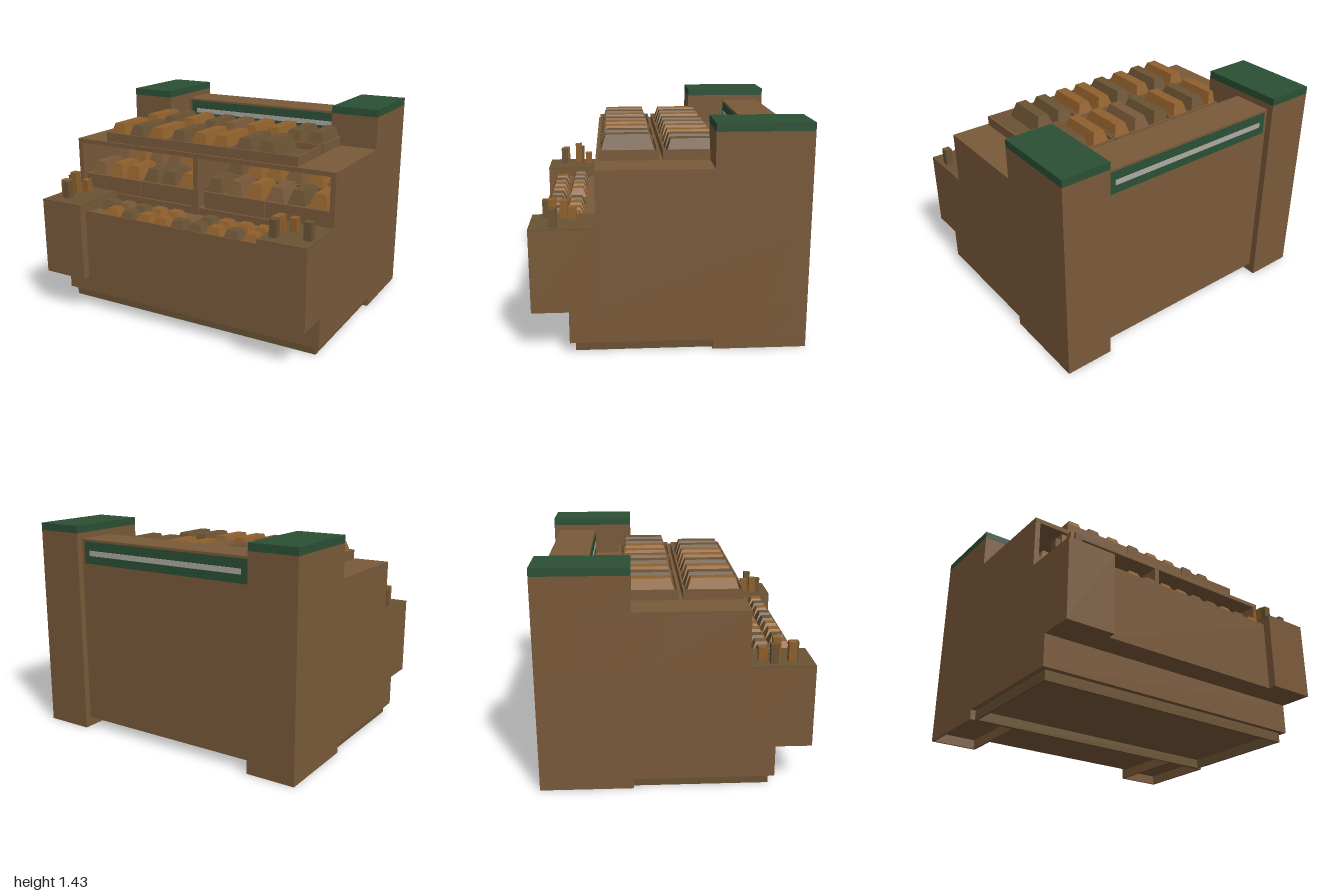
import * as THREE from 'three';

const mat = (name, color) => {
  const m = new THREE.MeshStandardMaterial({ color });
  m.name = name;
  return m;
};

export function createModel() {
  const wood = mat('wood', 0x7a5a3a);
  const darkWood = mat('dark wood', 0x6b5334);
  const crust = mat('golden crust', 0x8f602c);
  const green = mat('green', 0x2b5035);
  const grey = mat('light grey', 0xadaaa2);
  const colours = { o: crust, d: darkWood, b: wood };
  const model = new THREE.Group();
  model.name = 'bakeryCounter';

  const add = (name, geometry, material) => {
    const mesh = new THREE.Mesh(geometry, material);
    mesh.name = name;
    model.add(mesh);
    return mesh;
  };
  // Box given by its extents
  const box = (name, x0, x1, y0, y1, z0, z1, material = wood) => {
    const mesh = add(name, new THREE.BoxGeometry(x1 - x0, y1 - y0, z1 - z0), material);
    mesh.position.set((x0 + x1) / 2, (y0 + y1) / 2, (z0 + z1) / 2);
    return mesh;
  };
  // Open rectangular frame of four walls
  const ring = (name, x0, x1, y0, y1, z0, z1, t, material = wood) => {
    box(name, x0, x1, y0, y1, z1 - t, z1, material);
    box(name, x0, x1, y0, y1, z0, z0 + t, material);
    box(name, x0, x0 + t, y0, y1, z0 + t, z1 - t, material);
    box(name, x1 - t, x1, y0, y1, z0 + t, z1 - t, material);
  };
  // Loaf: a box whose top is drawn in on all sides
  const loaf = (name, x, y, z, w, h, d, inset, material) => {
    const g = new THREE.BoxGeometry(w, h, d);
    const p = g.attributes.position;
    for (let i = 0; i < p.count; i++) {
      if (p.getY(i) > 0) {
        p.setX(i, p.getX(i) - Math.sign(p.getX(i)) * inset);
        p.setZ(i, p.getZ(i) - Math.sign(p.getZ(i)) * inset);
      }
    }
    g.computeVertexNormals();
    add(name, g, material).position.set(x, y + h / 2, z);
  };

  // Hollow plinth and lower body
  ring('plinth', -0.965, 0.965, 0, 0.065, -0.265, 0.59, 0.015, darkWood);
  box('lowerBody', -1, 1, 0.065, 0.27, -0.81, 0.625);
  box('middleBody', -1, 1, 0.27, 0.735, -0.81, 0.45);
  box('frontCounter', -0.67, 0.67, 0.27, 0.735, 0.45, 0.80);
  box('frontLip', -0.67, 0.67, 0.735, 0.755, 0.793, 0.80);

  // Cabinet shell with two openings at the front
  box('cabinetRoof', -1, 1, 1.13, 1.16, -0.54, 0.45);
  box('cabinetBack', -1, 1, 0.735, 1.13, -0.54, -0.1);
  box('cabinetDivider', -0.02, 0.015, 0.735, 1.13, -0.1, 0.45);
  box('cabinetShelf', -0.965, 0.965, 0.735, 0.785, -0.1, 0.44);

  // Rear sign wall with a sign on both faces
  box('signWall', -0.67, 0.67, 0.735, 1.34, -0.81, -0.54);
  for (const [z, s] of [[-0.54, 1], [-0.81, -1]]) {
    box('signBoard', -0.645, 0.645, 1.175, 1.325, z - 0.004, z + 0.004, green);
    box('signStrip', -0.6, 0.6, 1.23, 1.265, z + s * 0.004 - 0.003, z + s * 0.004 + 0.003, grey);
  }

  // Mirrored end panels, corner counters and rear pillars
  for (const s of [-1, 1]) {
    const side = (name, a, b, ...rest) => box(name, Math.min(s * a, s * b), Math.max(s * a, s * b), ...rest);
    side('endPanel', 0.965, 1, 0.735, 1.13, -0.265, 0.45);
    side('cornerCounter', 0.67, 1, 0.27, 0.8, 0.45, 0.855);
    side('cornerTop', 0.67, 1, 0.8, 0.805, 0.45, 0.855, darkWood);
    side('pillar', 0.67, 1, 0.065, 1.38, -0.855, -0.265);
    side('pillarCap', 0.67, 1, 1.38, 1.43, -0.855, -0.265, green);
    const c = s * 0.835;
    ring('pillarFoot', c - 0.165, c + 0.165, 0, 0.065, -0.855, -0.265, 0.015);
  }

  // Upper trays, three to a row, three loaves each
  const topXs = [-0.67, -0.51, -0.345, -0.165, 0, 0.165, 0.34, 0.5, 0.665];
  [['ododbooddb', -0.16], ['ododoodd ', 0.245]].forEach(([row, z]) => {
    for (let i = 0; i < 3; i++) {
      const x0 = -0.75 + i * 0.498;
      ring('upperTray', x0, x0 + 0.492, 1.16, 1.225, z - 0.19, z + 0.19, 0.012);
      box('trayFloor', x0 + 0.012, x0 + 0.48, 1.16, 1.185, z - 0.178, z + 0.178, darkWood);
    }
    topXs.forEach((x, i) => {
      if (row[i] !== ' ') loaf('upperLoaf', x, 1.185, z, 0.14, 0.104, 0.345, 0.033, colours[row[i]]);
    });
  });

  // Stepped trays and loaves inside the cabinet
  for (const [x0, x1] of [[-0.96, -0.483], [-0.475, -0.035], [0.05, 0.503], [0.511, 0.96]]) {
    box('cabinetTray', x0, x1, 0.785, 0.9, 0.14, 0.425);
    box('cabinetRearTray', x0, x1, 0.785, 0.955, -0.1, 0.14);
  }
  const cabinetXs = [-0.86, -0.71, -0.56, -0.4, -0.255, -0.11, 0.115, 0.265, 0.415, 0.57, 0.72, 0.87];
  cabinetXs.forEach((x, i) => {
    loaf('cabinetLoaf', x, 0.9, 0.28, 0.13, 0.09, 0.25, 0.03, colours['booddodbobdo'[i]]);
    loaf('cabinetRearLoaf', x, 0.955, 0.02, 0.13, i % 4 === 1 ? 0.11 : 0.09, 0.2, 0.03,
      colours['bobbobdoobob'[i]]);
  });

  // Small rolls on the front counter
  [['dbdoo dooo', 0.597], [' odooddodo', 0.732]].forEach(([row, z]) => {
    for (let i = 0; i < 10; i++) {
      if (row[i] !== ' ') {
        loaf('roll', -0.595 + i * 0.1317, 0.735, z, 0.118, 0.06, 0.122, 0.025, colours[row[i]]);
      }
    }
  });

  // Upright sticks on the corner counters: x, z, top, colour
  const sticks = [
    [-0.865, 0.54, 0.89, 'o'], [-0.93, 0.605, 0.93, 'd'], [-0.897, 0.622, 0.96, 'o'],
    [-0.895, 0.722, 0.93, 'o'], [-0.873, 0.737, 0.925, 'd'], [0.8, 0.595, 0.89, 'o'],
    [0.735, 0.652, 0.915, 'o'], [0.742, 0.722, 0.925, 'o'], [0.742, 0.757, 0.92, 'd'],
    [0.945, 0.71, 0.92, 'd'],
  ];
  for (const [x, z, top, c] of sticks) {
    box('breadStick', x - 0.025, x + 0.025, 0.805, top, z - 0.025, z + 0.025, colours[c]);
  }
  return model;
}
